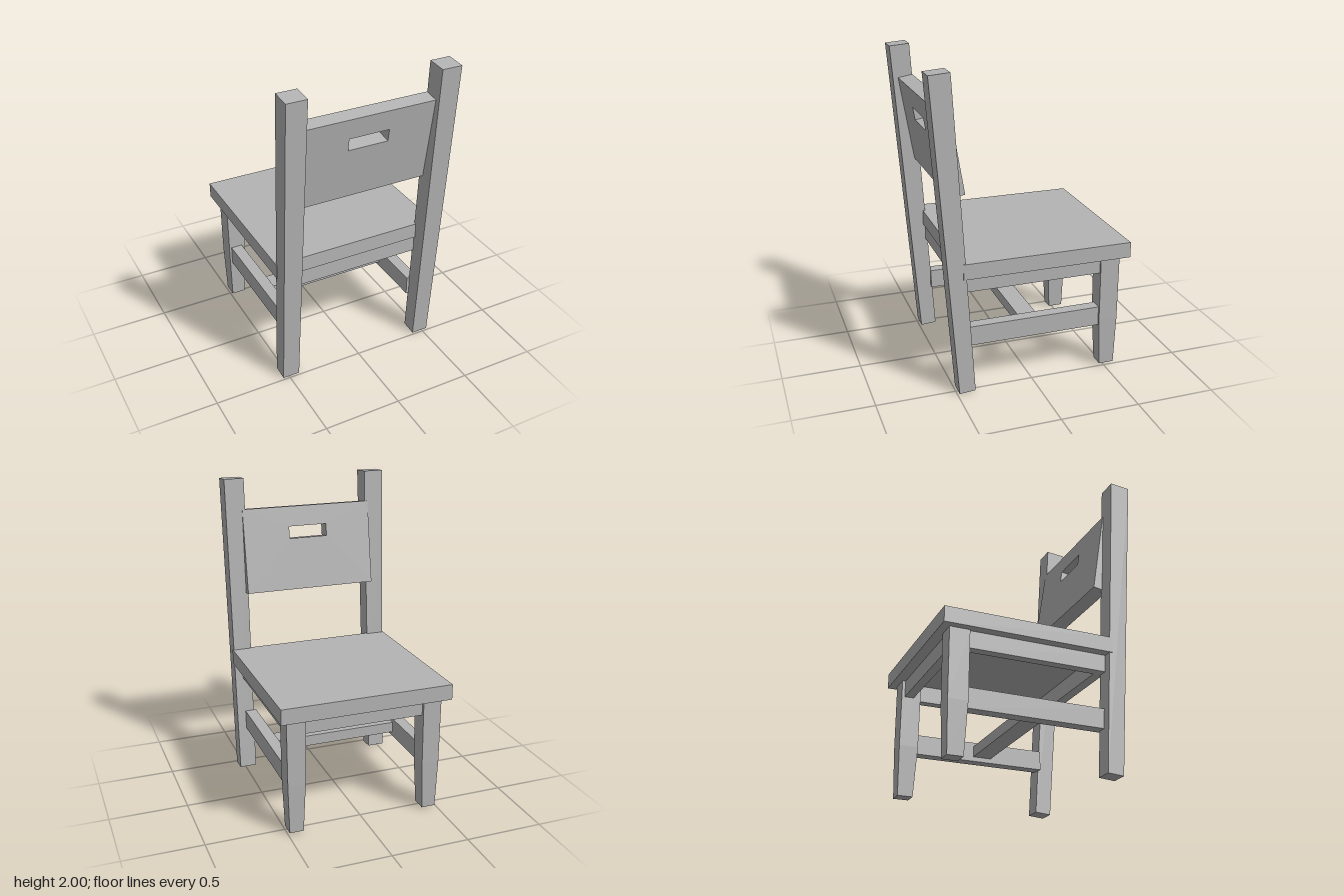
import * as THREE from 'three';

const wood = new THREE.MeshStandardMaterial({ color: 0xb4b4b4 });
wood.name = 'greyWood';

function addMesh(group, name, geometry) {
  const mesh = new THREE.Mesh(geometry, wood);
  mesh.name = name;
  group.add(mesh);
  return mesh;
}

// Axis-aligned board given by its limits
function board(group, name, [x0, x1], [y0, y1], [z0, z1]) {
  const mesh = addMesh(group, name, new THREE.BoxGeometry(x1 - x0, y1 - y0, z1 - z0));
  mesh.position.set((x0 + x1) / 2, (y0 + y1) / 2, (z0 + z1) / 2);
}

// Four-sided post through sections listed from bottom to top;
// yFront and yBack are the heights at the low-z and high-z edges
function post(sections, side) {
  const n = sections.length - 1;
  const geo = new THREE.BoxGeometry(1, 1, 1, 1, n, 1);
  const p = geo.attributes.position;
  for (let i = 0; i < p.count; i++) {
    const s = sections[Math.round((p.getY(i) + 0.5) * n)];
    const outer = p.getX(i) * side > 0;
    const back = p.getZ(i) > 0;
    p.setXYZ(i, side * s.x[outer ? 1 : 0], back ? s.yBack : s.yFront, s.z[back ? 1 : 0]);
  }
  const flat = geo.toNonIndexed();
  flat.computeVertexNormals();
  return flat;
}

const backPost = [
  { x: [0.43, 0.54], z: [0.383, 0.485], yFront: 0.008, yBack: 0 },
  { x: [0.42, 0.55], z: [0.505, 0.633], yFront: 2, yBack: 1.99 },
];
const frontLeg = [
  { x: [0.40, 0.49], z: [-0.57, -0.473], yFront: 0.01, yBack: 0.01 },
  { x: [0.387, 0.5], z: [-0.578, -0.456], yFront: 0.33, yBack: 0.33 },
  { x: [0.383, 0.503], z: [-0.58, -0.454], yFront: 0.765, yBack: 0.765 },
];

export function createModel() {
  const chair = new THREE.Group();
  chair.name = 'chair';

  // Seat board
  board(chair, 'seat', [-0.55, 0.55], [0.763, 0.862], [-0.63, 0.45]);

  // Posts, legs, side aprons and side rungs, mirrored
  for (const side of [1, -1]) {
    const label = side > 0 ? 'left' : 'right';
    const span = (a, b) => (side > 0 ? [a, b] : [-b, -a]);
    addMesh(chair, label + 'BackPost', post(backPost, side));
    addMesh(chair, label + 'FrontLeg', post(frontLeg, side));
    board(chair, label + 'Apron', span(0.43, 0.49), [0.655, 0.763], [-0.46, 0.435]);
    board(chair, label + 'Rung', span(0.41, 0.485), [0.292, 0.417], [-0.46, 0.41]);
  }

  // Front and back aprons, and the stretcher joining the side rungs
  board(chair, 'frontApron', [-0.39, 0.39], [0.655, 0.763], [-0.56, -0.5]);
  board(chair, 'backApron', [-0.435, 0.435], [0.655, 0.763], [0.375, 0.437]);
  board(chair, 'stretcher', [-0.415, 0.415], [0.322, 0.392], [-0.07, 0.05]);

  // Tilted back panel with a hand slot
  const panel = new THREE.Shape();
  panel.moveTo(-0.44, 0).lineTo(0.44, 0).lineTo(0.44, 0.552).lineTo(-0.44, 0.552).closePath();
  const slot = new THREE.Path();
  slot.moveTo(-0.13, 0.34).lineTo(-0.13, 0.42).lineTo(0.13, 0.42).lineTo(0.13, 0.34).closePath();
  panel.holes.push(slot);
  const geo = new THREE.ExtrudeGeometry(panel, { depth: 0.095, bevelEnabled: false });
  geo.translate(0, 0, -0.095);
  const back = addMesh(chair, 'backPanel', geo);
  back.rotation.x = 0.163;
  back.position.set(0, 1.24, 0.495);

  return chair;
}
